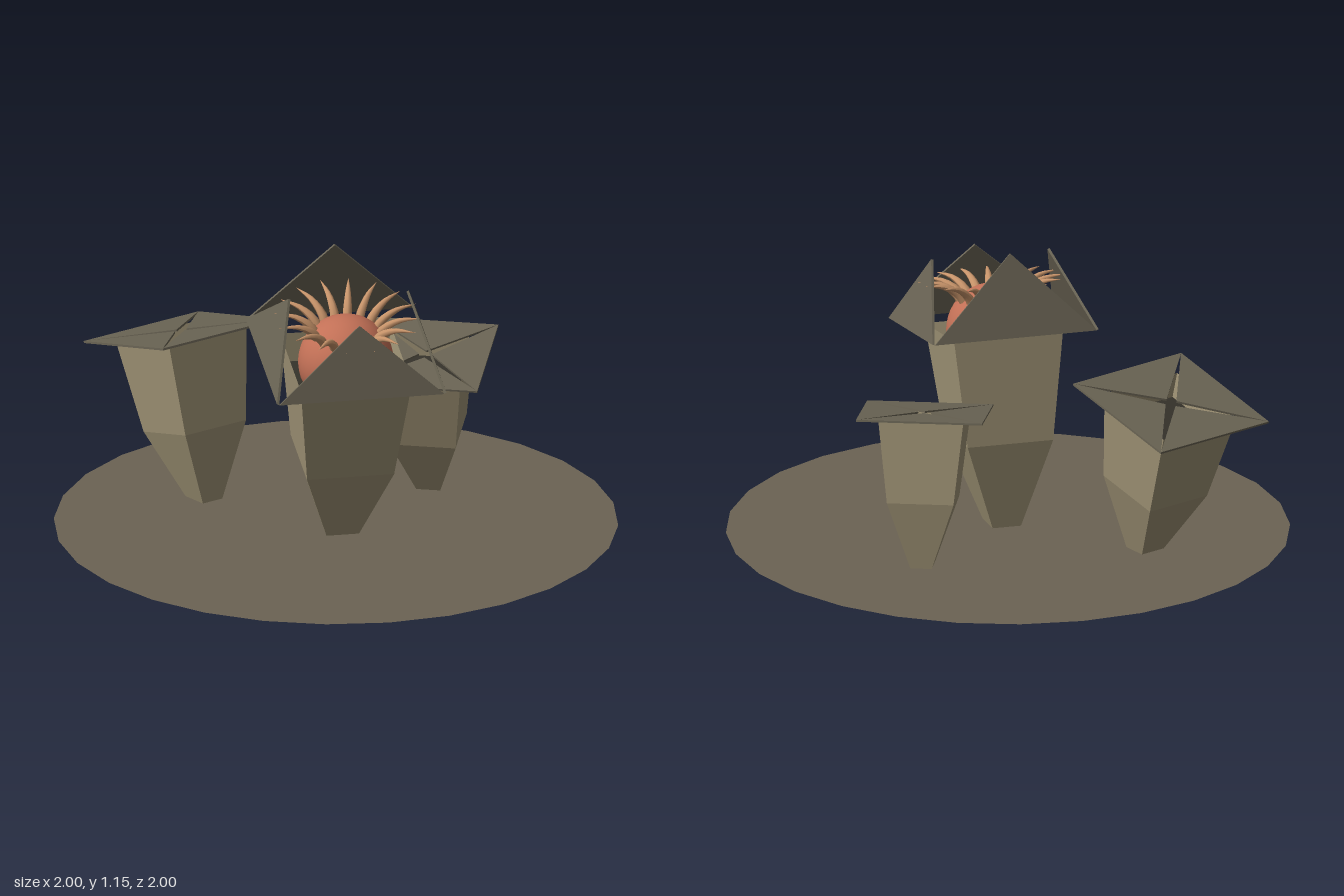
import * as THREE from 'three';

const mat = (name, color, extra = {}) => {
  const m = new THREE.MeshStandardMaterial({ color, ...extra });
  m.name = name;
  return m;
};

// Tapered, outward curling horn lying in the local y/z plane
function hornGeometry() {
  const curve = new THREE.CatmullRomCurve3([
    [0.1, 0.89], [0.13, 0.94], [0.185, 0.975], [0.262, 0.987],
  ].map(([r, h]) => new THREE.Vector3(0, h, r)));
  const rings = 8, sides = 8;
  const geo = new THREE.TubeGeometry(curve, rings, 0.018, sides);
  const pos = geo.attributes.position;
  const v = new THREE.Vector3();
  for (let i = 0; i < pos.count; i++) {
    const t = Math.floor(i / (sides + 1)) / rings;
    const centre = curve.getPointAt(t);
    v.fromBufferAttribute(pos, i).sub(centre).multiplyScalar(1 - t ** 1.6).add(centre);
    pos.setXYZ(i, v.x, v.y, v.z);
  }
  geo.computeVertexNormals();
  return geo;
}

// Thin triangular flap, hinged on its base edge
function flapGeometry(half, length) {
  const shape = new THREE.Shape();
  shape.moveTo(-half, 0);
  shape.lineTo(half, 0);
  shape.lineTo(0, length);
  shape.closePath();
  return new THREE.ExtrudeGeometry(shape, { depth: 0.009, bevelEnabled: false });
}

export function createModel() {
  const model = new THREE.Group();
  model.name = 'podCluster';

  const ground = mat('mudBrown', 0x6b6353, { side: THREE.DoubleSide });
  const shell = mat('khakiShell', 0xa09476, { side: THREE.DoubleSide, flatShading: true });
  const lid = mat('oliveLid', 0x6a6454);
  const dark = mat('darkInside', 0x35322a, { side: THREE.DoubleSide });
  const flesh = mat('salmonFlesh', 0xc27056);
  const horn = mat('tanHorn', 0xc8946a);

  const add = (parent, name, geo, material) => {
    const mesh = new THREE.Mesh(geo, material);
    mesh.name = name;
    parent.add(mesh);
    return mesh;
  };

  // Flat ground disc, with the pod tips poking through
  const disc = add(model, 'groundDisc', new THREE.CircleGeometry(1, 28), ground);
  disc.rotation.x = -Math.PI / 2;
  disc.position.y = 0.106;

  // Square open pod, profile as [half width, height]
  const profile = [[0, 0], [0.046, 0.08], [0.157, 0.415], [0.2, 0.81]]
    .map(([r, h]) => new THREE.Vector2(r * Math.SQRT2, h));
  const podGeo = new THREE.LatheGeometry(profile, 4, Math.PI / 4).toNonIndexed();
  podGeo.computeVertexNormals();

  const HALF = 0.297, HINGE = 0.82;
  const closedFlap = flapGeometry(HALF, 0.267);
  const tallFlap = flapGeometry(HALF, 0.301);
  const hornGeo = hornGeometry();

  function makePod(name, position, scale, yaw, tilt, open) {
    const pod = new THREE.Group();
    pod.name = name;
    pod.position.set(...position);
    pod.scale.setScalar(scale);
    pod.rotation.set(tilt, yaw, 0, 'YXZ');
    model.add(pod);

    add(pod, 'podShell', podGeo, shell);
    const floor = add(pod, 'darkFloor', new THREE.PlaneGeometry(0.376, 0.376), dark);
    floor.rotation.x = -Math.PI / 2;
    floor.position.y = 0.7;

    // Four lid flaps: lying flat when closed, nearly upright when open
    for (let i = 0; i < 4; i++) {
      const hinge = new THREE.Group();
      hinge.name = 'lidHinge';
      hinge.rotation.y = i * Math.PI / 2;
      pod.add(hinge);
      const back = open && i === 2;
      const flap = add(hinge, 'lidFlap', back ? tallFlap : closedFlap, lid);
      flap.position.set(0, HINGE, HALF);
      flap.rotation.x = open ? (back ? -0.096 : -0.336) : -Math.PI / 2;
    }

    if (!open) return;
    // Fleshy ball with its ring of horns
    const ball = add(pod, 'fleshBall', new THREE.SphereGeometry(0.17, 32, 20), flesh);
    ball.position.y = 0.8;
    for (let i = 0; i < 16; i++) {
      add(pod, 'horn', hornGeo, horn).rotation.y = (i + 0.5) * Math.PI / 8;
    }
  }

  makePod('openPod', [0, 0, 0.05], 1, 0, 0.173, true);
  makePod('closedPodBackRight', [-0.4, 0.02, -0.3], 0.84, 0.43, -0.253, false);
  makePod('closedPodBackLeft', [0.4, 0.03, -0.3], 0.755, -0.36, 0.19, false);

  return model;
}
